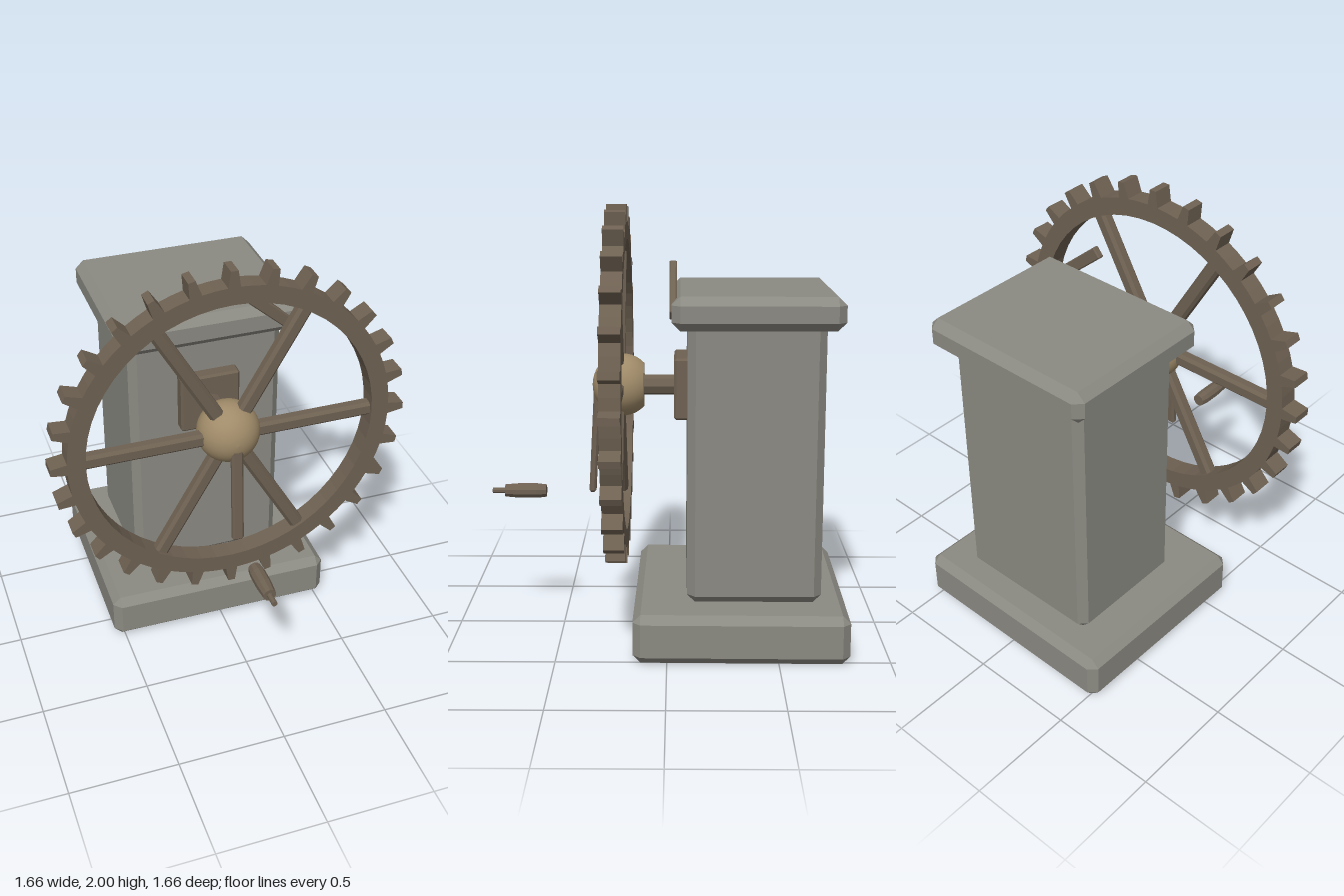
import * as THREE from 'three';
import { ConvexGeometry } from 'three/addons/geometries/ConvexGeometry.js';

const stone = new THREE.MeshStandardMaterial({ color: 0x8b8a82, flatShading: true });
stone.name = 'stone';
const wood = new THREE.MeshStandardMaterial({ color: 0x6e6152, flatShading: true });
wood.name = 'wood';
const brass = new THREE.MeshStandardMaterial({ color: 0xa08b69 });
brass.name = 'brass';

// Box with every edge cut off at 45 degrees
function chamferBox(w, h, d, c) {
  const pts = [];
  for (const sx of [-1, 1]) for (const sy of [-1, 1]) for (const sz of [-1, 1]) {
    const x = w / 2, y = h / 2, z = d / 2;
    pts.push(
      new THREE.Vector3(sx * x, sy * (y - c), sz * (z - c)),
      new THREE.Vector3(sx * (x - c), sy * y, sz * (z - c)),
      new THREE.Vector3(sx * (x - c), sy * (y - c), sz * z));
  }
  return new ConvexGeometry(pts);
}

function add(parent, name, geometry, material, x = 0, y = 0, z = 0) {
  const mesh = new THREE.Mesh(geometry, material);
  mesh.name = name;
  mesh.position.set(x, y, z);
  parent.add(mesh);
  return mesh;
}

// Surface of revolution whose axis runs along z; points are [radius, z]
function latheZ(points, segments) {
  const geometry = new THREE.LatheGeometry(points.map(([r, z]) => new THREE.Vector2(r, z)), segments);
  return geometry.rotateX(Math.PI / 2);
}

// Toothed ring
function gearGeometry(teeth, tipR, rimR, holeR, depth) {
  const shape = new THREE.Shape();
  const step = (Math.PI * 2) / teeth;
  const put = (r, a, first) => shape[first ? 'moveTo' : 'lineTo'](r * Math.cos(a), r * Math.sin(a));
  for (let i = 0; i < teeth; i++) {
    const a = i * step;
    put(rimR, a - 0.037, i === 0);
    put(tipR, a - 0.02);
    put(tipR, a + 0.02);
    put(rimR, a + 0.037);
    put(rimR, a + step / 2);
  }
  shape.closePath();
  const hole = new THREE.Path();
  hole.absarc(0, 0, holeR, 0, Math.PI * 2, true);
  shape.holes.push(hole);
  return new THREE.ExtrudeGeometry(shape, { depth, bevelEnabled: false, curveSegments: 28 });
}

export function createModel() {
  const model = new THREE.Group();
  model.name = 'crankMechanism';

  // Stone pillar
  const pillar = new THREE.Group();
  pillar.name = 'pillar';
  model.add(pillar);
  add(pillar, 'base', chamferBox(1.09, 0.225, 0.97, 0.036), stone, 0, 0.1125, -0.337).rotation.y = -0.01;
  add(pillar, 'column', chamferBox(0.735, 1.3, 0.61, 0.036), stone, 0, 0.875, -0.395);
  add(pillar, 'cap', chamferBox(0.88, 0.15, 0.755, 0.038), stone, -0.003, 1.552, -0.397);

  // Loose plank against the cap
  add(pillar, 'plank', chamferBox(0.31, 0.056, 0.032, 0.005), wood, 0.245, 1.64, -0.026).rotation.z = -0.71;

  // Axle and its mounting plate
  add(model, 'mountPlate', chamferBox(0.285, 0.285, 0.07, 0.01), wood, 0, 1.172, -0.065);
  const axle = new THREE.CylinderGeometry(0.048, 0.048, 0.22, 8).rotateX(Math.PI / 2);
  add(model, 'axle', axle, wood, 0, 1.17, 0.06);

  // Wheel
  const wheel = new THREE.Group();
  wheel.name = 'wheel';
  wheel.position.set(0, 1.17, 0.232);
  model.add(wheel);
  add(wheel, 'toothedRim', gearGeometry(28, 0.83, 0.755, 0.673, 0.092), wood, 0, 0, -0.046);
  for (let i = 0; i < 6; i++) {
    const spoke = chamferBox(0.62, 0.068, 0.062, 0.014);
    spoke.translate(0.385, 0, 0).rotateZ((i * Math.PI) / 3);
    add(wheel, 'spoke' + (i + 1), spoke, wood);
  }

  // Domed hub, cut flat at the back
  const dome = [];
  for (let i = 0; i <= 14; i++) {
    const a = -0.8 + (i / 14) * (0.8 + Math.PI / 2);
    dome.push([Math.max(0, 0.145 * Math.cos(a)), 0.14 * Math.sin(a)]);
  }
  add(wheel, 'hub', latheZ(dome, 32), brass, 0, 0, -0.022);
  add(wheel, 'hubBack', new THREE.CircleGeometry(0.101, 32).rotateY(Math.PI), brass, 0, 0, -0.1224);

  // Crank arm and the handle standing off in front of it
  add(model, 'crankArm', chamferBox(0.055, 0.5, 0.032, 0.009), wood, 0, 0.905, 0.341).rotation.x = -0.055;
  const grip = [[0, 0.575], [0.03, 0.575], [0.036, 0.62], [0.036, 0.7], [0.03, 0.77],
    [0.013, 0.77], [0.013, 0.83], [0, 0.83]];
  add(model, 'crankHandle', latheZ(grip, 10), wood, 0, 0.657, 0);

  return model;
}
